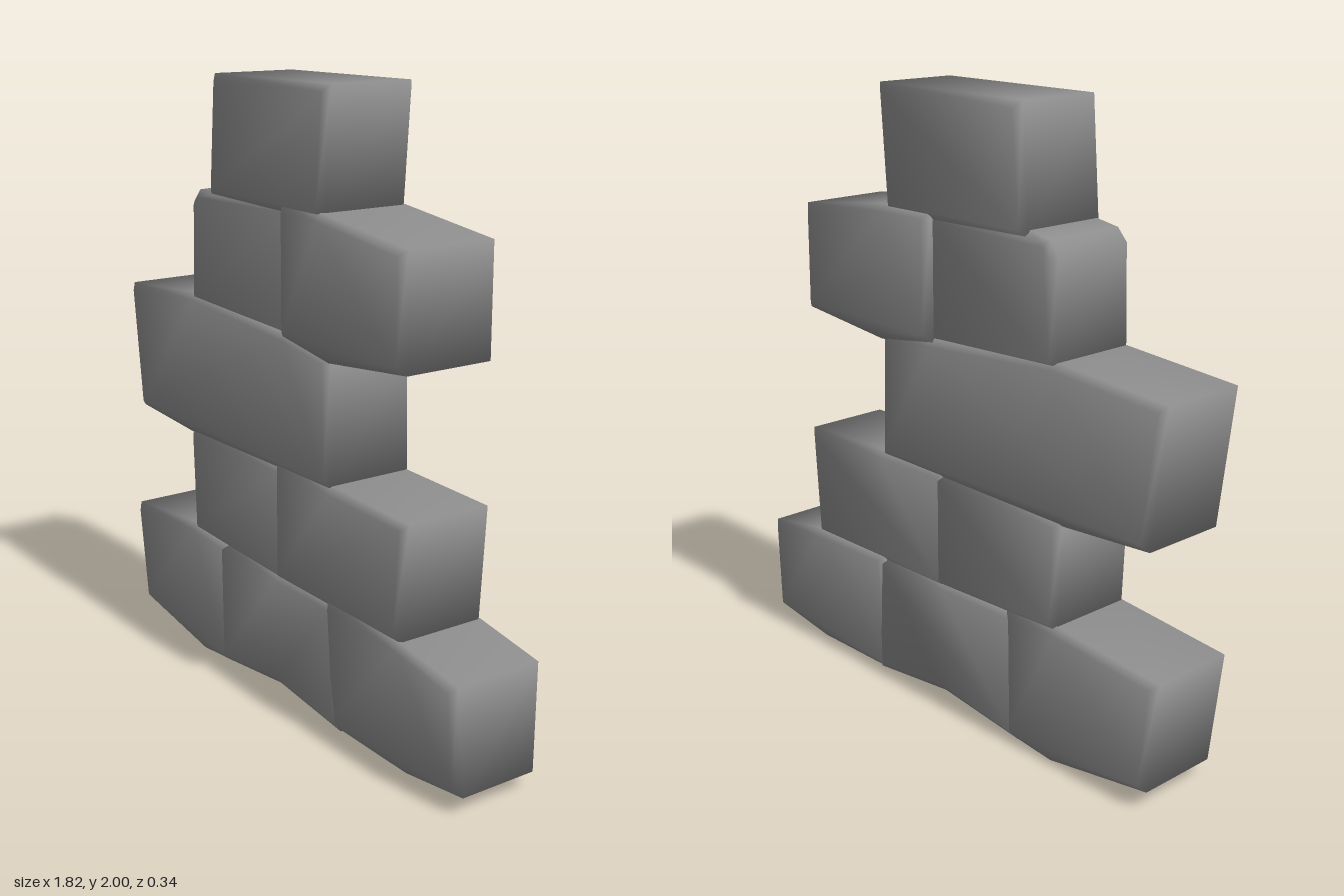
import * as THREE from 'three';
import { toCreasedNormals } from 'three/addons/utils/BufferGeometryUtils.js';

const BEVEL = 0.024;
const material = new THREE.MeshStandardMaterial({ color: 0x929292 });

// A worn brick: chamfered outline whose half depth varies along x and shrinks to the base,
// shaded softly around its corners.
function brick(name, outline, depthLeft, depthRight, baseScale = 1) {
  const shape = new THREE.Shape(outline.map(([x, y]) => new THREE.Vector2(x, y)));
  const geometry = new THREE.ExtrudeGeometry(shape, {
    depth: 2 - 0.24, bevelEnabled: true, bevelSegments: 1,
    bevelThickness: 0.12, bevelSize: BEVEL, bevelOffset: -BEVEL,
  });
  geometry.translate(0, 0, -0.88);
  geometry.computeBoundingBox();
  const { min, max } = geometry.boundingBox;
  const p = geometry.attributes.position;
  for (let i = 0; i < p.count; i++) {
    const u = (p.getX(i) - min.x) / (max.x - min.x);
    const v = (p.getY(i) - min.y) / (max.y - min.y);
    const half = THREE.MathUtils.lerp(depthLeft, depthRight, u) * THREE.MathUtils.lerp(baseScale, 1, v);
    p.setZ(i, p.getZ(i) * half);
  }
  const mesh = new THREE.Mesh(toCreasedNormals(geometry, 2), material);
  mesh.name = name;
  return mesh;
}

export function createModel() {
  const wall = new THREE.Group();
  wall.name = 'brickWall';
  wall.add(
    // Bottom course; neighbours overlap by the chamfer so only shallow seams show
    brick('bottomRightBrick', [[-0.87, 0.06], [-0.48, 0], [-0.29, 0.02], [-0.29, 0.45], [-0.51, 0.46], [-0.91, 0.42]], 0.163, 0.164, 0.96),
    brick('bottomMiddleBrick', [[-0.34, 0.015], [0, 0.055], [0.33, 0.02], [0.33, 0.44], [0, 0.445], [-0.34, 0.45]], 0.164, 0.16, 0.97),
    brick('bottomLeftBrick', [[0.28, 0.02], [0.65, 0.02], [0.91, 0.06], [0.897, 0.4], [0.64, 0.44], [0.28, 0.45]], 0.172, 0.172, 0.86),
    // Second course
    brick('secondRightBrick', [[-0.505, 0.44], [0.04, 0.42], [0.04, 0.81], [-0.52, 0.80]], 0.16, 0.157),
    brick('secondLeftBrick', [[-0.01, 0.42], [0.64, 0.43], [0.665, 0.805], [0.29, 0.815], [-0.01, 0.82]], 0.158, 0.164),
    // Third course
    brick('thirdBrick', [[-0.855, 0.805], [-0.52, 0.785], [0.29, 0.80], [0.28, 1.21], [0.05, 1.24], [-0.48, 1.275], [-0.907, 1.24]], 0.163, 0.16),
    // Fourth course
    brick('fourthRightBrick', [[-0.495, 1.25], [0.09, 1.22], [0.09, 1.63], [-0.37, 1.635], [-0.45, 1.62], [-0.485, 1.58]], 0.16, 0.143),
    brick('fourthLeftBrick', [[0.04, 1.23], [0.28, 1.195], [0.65, 1.235], [0.65, 1.585], [0.25, 1.633], [0.04, 1.635]], 0.172, 0.172),
    // Top course
    brick('topBrick', [[-0.37, 1.61], [0.25, 1.61], [0.28, 2], [-0.34, 1.995]], 0.164, 0.162),
  );
  return wall;
}
